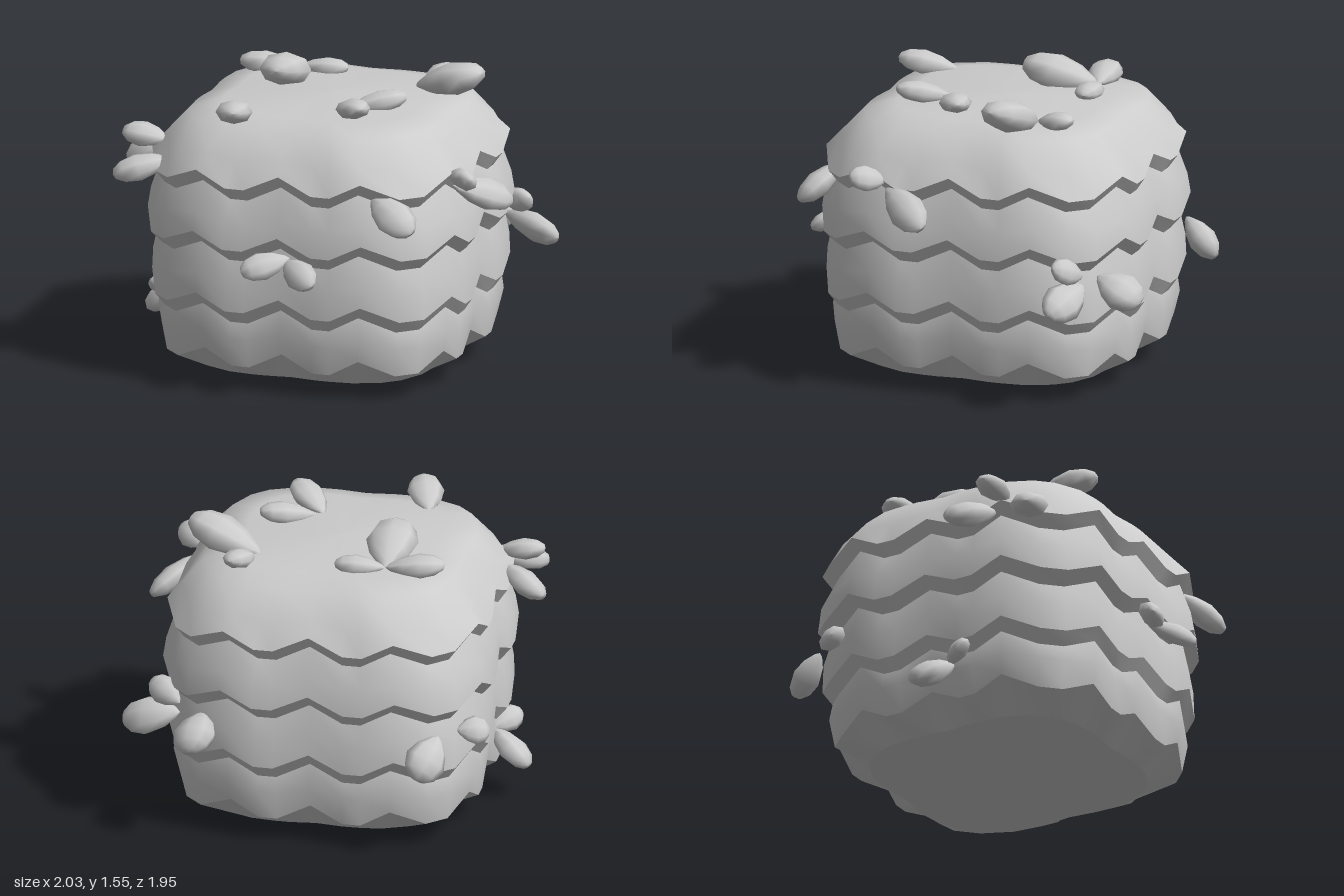
import * as THREE from 'three';

const material = new THREE.MeshStandardMaterial({ color: 0xcccccc, side: THREE.DoubleSide });

// One quarter of the rounded-square plan (x, z); every third point is a zigzag peak
const SIDE = [[-0.44, 0.98], [-0.28, 1], [-0.18, 1], [0, 0.975], [0.18, 1], [0.28, 1], [0.44, 0.98], [0.64, 0.85], [0.76, 0.72]]
  .map(([x, z], i) => [i < 7 ? x / 0.82 : x / 0.85, i < 7 ? z : z * 0.76 / 0.72 / 1.0]);
SIDE[7] = [0.76, 0.88];
SIDE[8] = [0.88, 0.76];
const COUNT = SIDE.length * 4;

// Skin of stacked rings, top to bottom; each ring is [half width, height, zigzag amplitude]
function skin(name, rings) {
  const pos = [], index = [];
  for (const [r, y, amp] of rings) {
    for (let q = 0; q < 4; q++) {
      const c = Math.round(Math.cos(q * Math.PI / 2)), s = Math.round(Math.sin(q * Math.PI / 2));
      SIDE.forEach(([x, z], i) => {
        pos.push(r * (x * c + z * s), y + (i % 3 ? -amp : amp), r * (z * c - x * s) - 0.01);
      });
    }
  }
  for (let k = 0; k < rings.length - 1; k++) {
    for (let j = 0; j < COUNT; j++) {
      const a = k * COUNT + j, b = k * COUNT + (j + 1) % COUNT;
      index.push(a, a + COUNT, b + COUNT, a, b + COUNT, b);
    }
  }
  const g = new THREE.BufferGeometry();
  g.setAttribute('position', new THREE.Float32BufferAttribute(pos, 3));
  g.setIndex(index);
  g.computeVertexNormals();
  const mesh = new THREE.Mesh(g, material);
  mesh.name = name;
  return mesh;
}

// Plump bud of unit length along +y, narrow at its root
const budGeometry = new THREE.LatheGeometry(
  [[0, 0], [0.3, 0.08], [0.75, 0.3], [1, 0.58], [0.8, 0.83], [0.4, 0.97], [0, 1]].map(([r, y]) => new THREE.Vector2(r, y)), 8);

function bud(root, tip, width, onTop) {
  const a = new THREE.Vector3(...root), b = new THREE.Vector3(...tip);
  const along = b.clone().sub(a), length = along.length();
  along.normalize();
  const out = onTop ? new THREE.Vector3(0, 1, 0) : new THREE.Vector3(a.x ** 3, 0.35, a.z ** 3).normalize();
  const across = along.clone().cross(out).normalize();
  const thick = across.clone().cross(along);
  const mesh = new THREE.Mesh(budGeometry, material);
  mesh.name = 'bud';
  mesh.quaternion.setFromRotationMatrix(new THREE.Matrix4().makeBasis(across, along, thick));
  mesh.position.copy(a);
  mesh.scale.set(width / 2, length, width * 0.33);
  return mesh;
}

// Bud clusters: [root, tip, width]
const TOP = {
  topBackRightBuds: [
    [[-0.31, 1.4, -0.39], [-0.29, 1.48, 0.01], 0.27],
    [[-0.31, 1.4, -0.39], [-0.61, 1.42, -0.34], 0.18],
    [[-0.31, 1.4, -0.39], [-0.05, 1.41, -0.41], 0.15]],
  topBackLeftBuds: [
    [[0.35, 1.38, -0.31], [0.74, 1.51, -0.21], 0.26],
    [[0.39, 1.39, -0.34], [0.47, 1.43, -0.55], 0.15]],
  topFrontLeftBuds: [
    [[0.18, 1.39, 0.22], [0.44, 1.44, 0.08], 0.17],
    [[0.14, 1.39, 0.23], [0.33, 1.46, 0.46], 0.17]],
  topFrontBud: [[[-0.37, 1.38, 0.4], [-0.28, 1.44, 0.69], 0.19]],
};
const SIDES = {
  leftBuds: [
    [[0.78, 1.07, 0.34], [1.0, 0.94, 0.06], 0.19],
    [[0.78, 1.11, 0.34], [0.93, 1.15, 0.48], 0.15]],
  backLeftBuds: [
    [[0.69, 0.64, -0.7], [1.0, 0.55, -0.63], 0.21],
    [[0.57, 0.66, -0.73], [0.59, 0.54, -0.97], 0.24],
    [[0.69, 0.69, -0.7], [0.86, 0.76, -0.6], 0.15]],
  backRightBuds: [
    [[-0.66, 0.64, -0.73], [-0.58, 0.47, -0.92], 0.22],
    [[-0.73, 0.63, -0.61], [-0.88, 0.61, -0.53], 0.16]],
  rightLowBuds: [
    [[-0.76, 0.33, 0.13], [-0.97, 0.19, 0.0], 0.2],
    [[-0.76, 0.34, 0.1], [-0.88, 0.38, 0.26], 0.14]],
  frontRightBuds: [
    [[-0.66, 1.13, 0.54], [-0.94, 1.05, 0.66], 0.2],
    [[-0.75, 1.13, 0.38], [-1.0, 1.04, 0.22], 0.2],
    [[-0.72, 1.19, 0.42], [-0.97, 1.22, 0.42], 0.17]],
  frontLeftBud: [[[0.47, 1.08, 0.7], [0.73, 0.94, 0.83], 0.2]],
  frontBuds: [
    [[0.06, 0.74, 0.79], [-0.15, 0.68, 0.94], 0.16],
    [[0.03, 0.72, 0.79], [0.24, 0.65, 0.96], 0.16]],
};

export function createModel() {
  const model = new THREE.Group();
  const A = 0.04;

  // Body: four swelling tiers, each overhanging the next with a zigzag hem
  const body = new THREE.Group();
  body.name = 'body';
  body.add(
    skin('topTier', [[0, 1.4, 0], [0.5, 1.385, 0], [0.65, 1.35, 0], [0.76, 1.22, 0.01], [0.825, 1.12, A]]),
    skin('topHem', [[0.825, 1.12, A], [0.78, 1.055, A]]),
    skin('upperTier', [[0.78, 1.055, A], [0.83, 0.92, 0.02], [0.845, 0.8, A]]),
    skin('upperHem', [[0.845, 0.8, A], [0.79, 0.735, A]]),
    skin('middleTier', [[0.79, 0.735, A], [0.82, 0.6, 0.02], [0.825, 0.47, A]]),
    skin('middleHem', [[0.825, 0.47, A], [0.78, 0.405, A]]),
    skin('lowerTier', [[0.78, 0.405, A], [0.795, 0.3, 0.02], [0.77, 0.17, A]]),
    skin('lowerHem', [[0.77, 0.17, A], [0.62, 0.05, 0]]),
    skin('underside', [[0.62, 0.05, 0], [0, 0, 0]]));
  model.add(body);

  // Buds growing from the top and the sides
  for (const [set, onTop] of [[TOP, true], [SIDES, false]]) {
    for (const [name, buds] of Object.entries(set)) {
      const cluster = new THREE.Group();
      cluster.name = name;
      buds.forEach(([root, tip, width]) => cluster.add(bud(root, tip, width, onTop)));
      model.add(cluster);
    }
  }
  return model;
}
